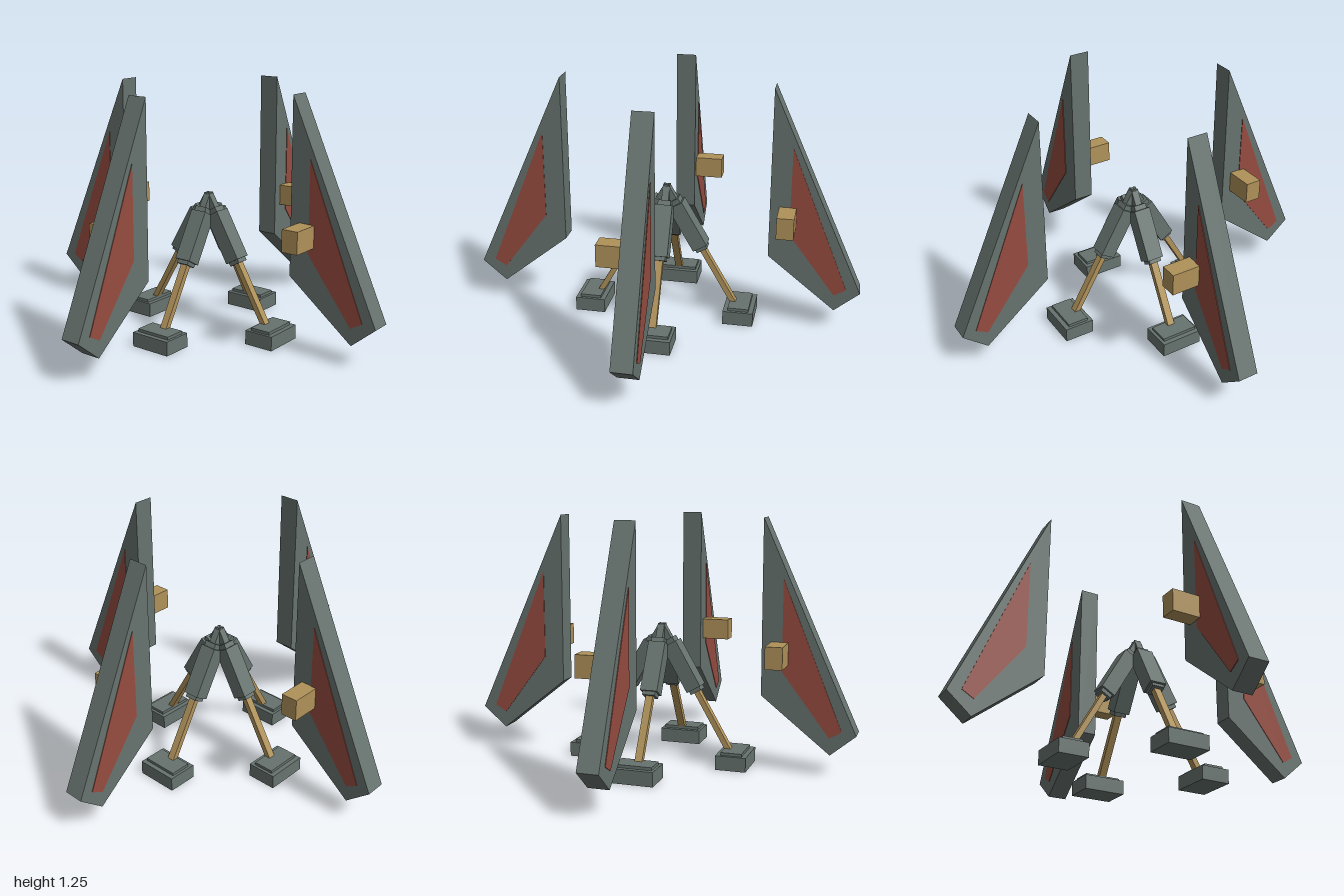
import * as THREE from 'three';

const mat = (name, color) => {
  const m = new THREE.MeshStandardMaterial({ color });
  m.name = name;
  return m;
};

export function createModel() {
  const grey = mat('hull grey', 0x67736f);
  const red = mat('panel red', 0x964c40);
  const gold = mat('brass', 0xb0925a);

  const add = (parent, name, geometry, material) => {
    const mesh = new THREE.Mesh(geometry, material);
    mesh.name = name;
    parent.add(mesh);
    return mesh;
  };
  const box = (parent, name, material, size, pos) => {
    const mesh = add(parent, name, new THREE.BoxGeometry(...size), material);
    mesh.position.set(...pos);
    return mesh;
  };
  // Flat plate in the xy plane between z0 and z1
  const plate = (parent, name, material, points, z0, z1) => {
    const shape = new THREE.Shape(points.map(p => new THREE.Vector2(...p)));
    const geo = new THREE.ExtrudeGeometry(shape, { depth: z1 - z0, bevelEnabled: false });
    geo.translate(0, 0, z0);
    return add(parent, name, geo, material);
  };
  // Square bar on the leg's axis, which leans 30 degrees from the apex
  const apexY = 0.7, lean = Math.PI / 6;
  const bar = (parent, name, material, yTop, yBottom, thick, wide) => {
    const y = (yTop + yBottom) / 2;
    const length = (yTop - yBottom) / Math.cos(lean);
    const mesh = box(parent, name, material, [thick, length, wide],
      [(apexY - y) * Math.tan(lean), y, 0]);
    mesh.rotation.z = lean;
  };

  const finOutline = [[0.53, 1.255], [0.53, 0.385], [0.875, 0.11], [1, 0.215]];
  const panelOutline = [[0.632, 0.965], [0.632, 0.51], [0.87, 0.195], [0.93, 0.23]];
  const half = 0.052;

  const model = new THREE.Group();
  model.name = 'landingPod';
  for (let i = 0; i < 4; i++) {
    const quarter = new THREE.Group();
    quarter.name = `quarter${i + 1}`;
    quarter.rotation.y = i * Math.PI / 2;
    model.add(quarter);

    // Fin with a red panel on each face and a side block
    const fin = new THREE.Group();
    fin.name = 'fin';
    quarter.add(fin);
    plate(fin, 'finBody', grey, finOutline, -half, half);
    plate(fin, 'finPanelFront', red, panelOutline, half - 0.001, half + 0.003);
    plate(fin, 'finPanelBack', red, panelOutline, -half - 0.003, -half + 0.001);
    box(fin, 'finBlock', gold, [0.085, 0.11, 0.15], [0.619, 0.6, 0.123]);

    // Telescopic leg
    const leg = new THREE.Group();
    leg.name = 'leg';
    quarter.add(leg);
    bar(leg, 'legTip', grey, 0.705, 0.6, 0.035, 0.036);
    bar(leg, 'legCollar', grey, 0.635, 0.37, 0.06, 0.066);
    bar(leg, 'legSleeve', grey, 0.613, 0.387, 0.08, 0.088);
    bar(leg, 'legRod', gold, 0.4, 0.07, 0.028, 0.038);

    // Foot
    box(leg, 'foot', grey, [0.156, 0.073, 0.218], [0.392, 0.0365, 0]);
    box(leg, 'footPad', grey, [0.108, 0.025, 0.19], [0.392, 0.0755, 0]);
  }
  return model;
}
